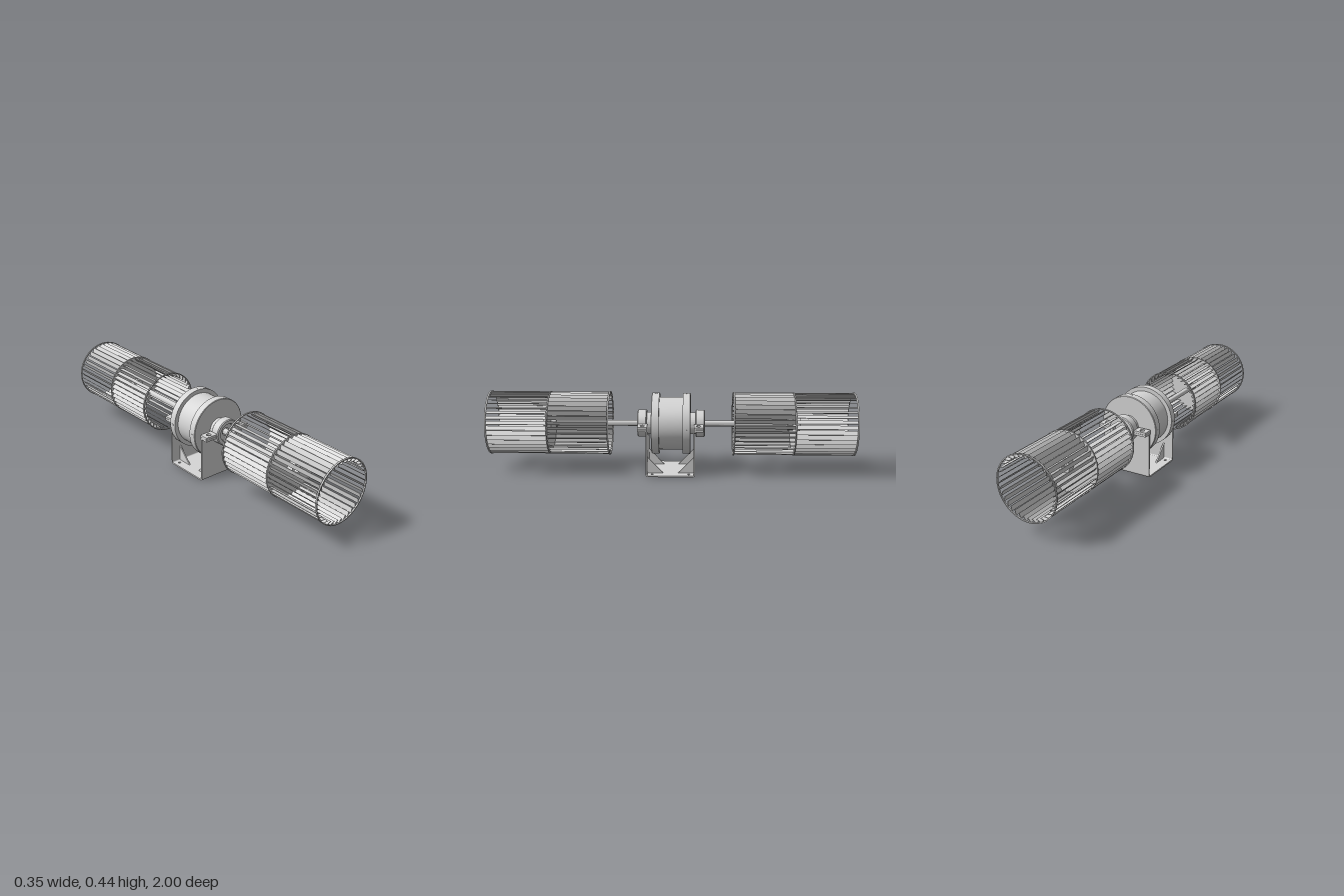
import * as THREE from 'three';
import { mergeGeometries, toCreasedNormals } from 'three/addons/utils/BufferGeometryUtils.js';

const AXIS = 0.268; // height of the shaft

// Solid of revolution about z; profile is [radius, z], counter-clockwise
function turned(profile, segments = 64) {
  const g = new THREE.LatheGeometry(profile.map(([r, z]) => new THREE.Vector2(r, z)), segments);
  g.rotateX(Math.PI / 2);
  return toCreasedNormals(g, 0.6);
}

// Square-section ring between two radii
function ring(inner, outer, z0, z1, segments) {
  return turned([[inner, z0], [outer, z0], [outer, z1], [inner, z1], [inner, z0]], segments);
}

function extrude(shape, depth) {
  return new THREE.ExtrudeGeometry(shape, { depth, bevelEnabled: false, curveSegments: 24 });
}

// Rectangle with round holes, laid flat with its underside at y = 0
function flatPlate(x0, x1, z0, z1, thick, holes, r) {
  const s = new THREE.Shape([[x0, -z0], [x0, -z1], [x1, -z1], [x1, -z0]].map(([x, y]) => new THREE.Vector2(x, y)));
  for (const [x, z] of holes) {
    const h = new THREE.Path();
    h.absarc(x, -z, r, 0, Math.PI * 2, true);
    s.holes.push(h);
  }
  return extrude(s, thick).rotateX(-Math.PI / 2);
}

// One row of slanted fan blades around z
function bladeRow(z0, z1, slant) {
  const COUNT = 36, blades = [];
  for (let i = 0; i < COUNT; i++) {
    const b = new THREE.BoxGeometry(0.027, 0.003, z1 - z0);
    b.rotateZ(slant * Math.PI / 4);
    b.translate(0.161, 0, (z0 + z1) / 2);
    b.rotateZ(((i + 0.25) / COUNT) * Math.PI * 2);
    blades.push(b);
  }
  return mergeGeometries(blades);
}

export function createModel() {
  const steel = new THREE.MeshStandardMaterial({ color: 0xd6d6d6 });
  steel.name = 'light grey steel';
  const model = new THREE.Group();
  model.name = 'doubleBlower';

  const add = (parent, name, geometry, x = 0, y = 0, z = 0) => {
    const m = new THREE.Mesh(geometry, steel);
    m.name = name;
    m.position.set(x, y, z);
    parent.add(m);
    return m;
  };

  // Slatted fan drums, one at each end of the shaft
  const endRing = ring(0.169, 0.1745, -0.004, 0.004);
  const disc = ring(0.02, 0.174, 0.664, 0.67);
  const hub = ring(0.0215, 0.038, 0.635, 0.705, 8);
  const setScrew = new THREE.CylinderGeometry(0.005, 0.005, 0.012, 10);
  for (const side of [1, -1]) {
    const fan = new THREE.Group();
    fan.name = side > 0 ? 'frontFan' : 'backFan';
    fan.position.y = AXIS;
    if (side < 0) fan.rotation.y = Math.PI;
    // Slant reverses across the disc, and the two drums mirror each other
    add(fan, 'innerBlades', bladeRow(0.34, 0.665, side));
    add(fan, 'outerBlades', bladeRow(0.669, 0.996, -side));
    add(fan, 'innerRing', endRing, 0, 0, 0.34);
    add(fan, 'outerRing', endRing, 0, 0, 0.996);
    add(fan, 'middleDisc', disc);
    add(fan, 'hub', hub);
    for (const z of [0.645, 0.69]) add(fan, 'setScrew', setScrew, 0, 0.032, z);
    model.add(fan);
  }

  // Shaft
  add(model, 'shaft', turned([[0, -0.68], [0.016, -0.68], [0.016, 0.68], [0, 0.68]], 32), 0, AXIS, 0);

  // Motor: barrel, two flanged end covers, screws
  const motor = new THREE.Group();
  motor.name = 'motor';
  motor.position.set(0, AXIS, 0.002);
  model.add(motor);
  add(motor, 'barrel', turned([[0.145, -0.07], [0.145, 0.07]]));
  const cover = turned([[0, 0.064], [0.168, 0.064], [0.168, 0.103], [0.165, 0.106],
    [0.06, 0.106], [0.06, 0.136], [0, 0.136]]);
  const bearing = turned([[0.022, 0.133], [0.07, 0.133], [0.075, 0.138], [0.075, 0.18],
    [0.07, 0.185], [0.052, 0.185], [0.048, 0.165], [0.022, 0.165]]);
  const screw = new THREE.CylinderGeometry(0.006, 0.006, 0.006, 12);
  for (const side of [1, -1]) {
    const end = new THREE.Group();
    end.name = side > 0 ? 'frontEnd' : 'backEnd';
    if (side < 0) end.rotation.y = Math.PI;
    add(end, 'endCover', cover);
    add(end, 'bearing', bearing);
    for (let i = 0; i < 4; i++) {
      const a = (i * Math.PI) / 2;
      add(end, 'coverScrew', screw, -Math.sin(a) * 0.166, Math.cos(a) * 0.166, 0.083).rotation.z = a;
    }
    motor.add(end);
  }

  // U-shaped mounting bracket
  const bracket = new THREE.Group();
  bracket.name = 'bracket';
  bracket.position.z = 0.004;
  model.add(bracket);
  const W = 0.142, D = 0.134, T = 0.008, BEND = 0.014;
  const corners = [[1, 1], [1, -1], [-1, 1], [-1, -1]];
  add(bracket, 'base', flatPlate(-W, W, -D + BEND, D - BEND, T, corners.map(([x, z]) => [x * 0.112, z * 0.1]), 0.007));

  // Upright with a round seat for the bearing
  const upright = new THREE.Shape();
  upright.moveTo(-W, BEND);
  upright.lineTo(W, BEND);
  upright.lineTo(W, AXIS);
  upright.lineTo(0.07, AXIS);
  upright.absarc(0, AXIS, 0.07, 0, Math.PI, true);
  upright.lineTo(-W, AXIS);
  upright.closePath();
  const uprightGeo = extrude(upright, T);

  // Rounded fold between base and upright, drawn in z-y and swept along x
  const bend = new THREE.Shape();
  bend.moveTo(D - BEND, 0);
  bend.absarc(D - BEND, BEND, BEND, -Math.PI / 2, 0, false);
  bend.lineTo(D - T, BEND);
  bend.absarc(D - BEND, BEND, BEND - T, 0, -Math.PI / 2, true);
  bend.closePath();
  const bendGeo = extrude(bend, 2 * W).rotateY(-Math.PI / 2).translate(W, 0, 0);

  // Triangular corner brace, set in from the open sides
  const brace = new THREE.Shape();
  brace.moveTo(D - 0.095, T - 0.002);
  brace.lineTo(D - T + 0.002, T - 0.002);
  brace.lineTo(D - T + 0.002, 0.1);
  brace.closePath();
  const braceGeo = extrude(brace, 0.008).rotateY(-Math.PI / 2).translate(0.004, 0, 0);

  const earGeo = flatPlate(-0.036, 0.036, -0.026, 0.026, 0.012, [[0, 0]], 0.013);
  for (const side of [1, -1]) {
    const half = new THREE.Group();
    half.name = side > 0 ? 'frontHalf' : 'backHalf';
    if (side < 0) half.rotation.y = Math.PI;
    add(half, 'upright', uprightGeo, 0, 0, D - T);
    add(half, 'fold', bendGeo);
    for (const x of [-1, 1]) {
      add(half, 'cornerBrace', braceGeo, x * 0.085, 0, 0);
      // Folded tab below, bearing clamp ear above
      add(half, 'tab', earGeo, x * 0.11, AXIS - 0.013, 0.152);
      add(half, 'clampEar', earGeo, x * 0.11, AXIS, 0.152);
    }
    bracket.add(half);
  }

  return model;
}
